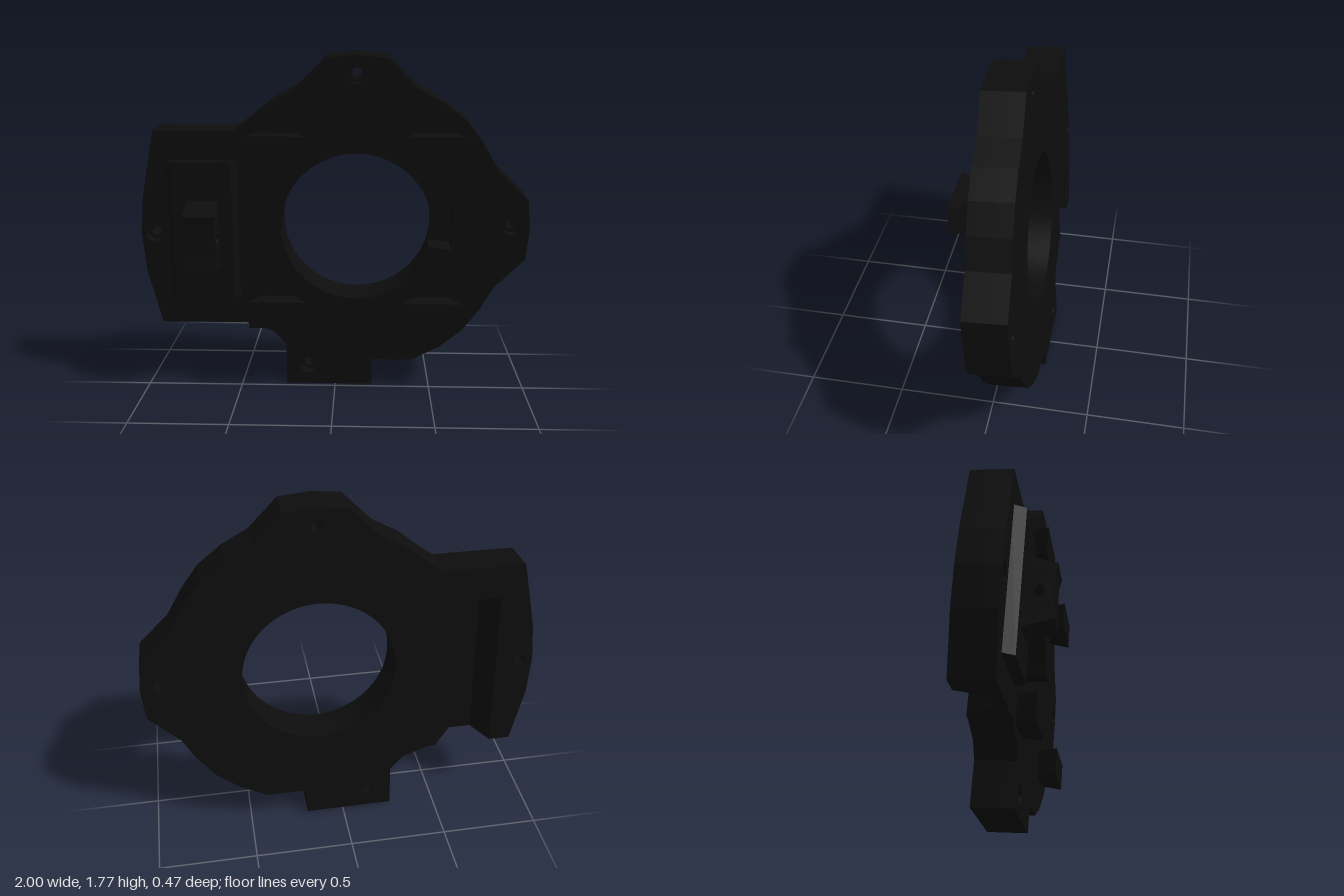
import * as THREE from 'three';

// Plate outline, in two runs so that the rear channel can be cut into its lower edge
const OUTLINE_A = [
  [-0.47, 0.35], [-0.325, 0.3], [-0.26, 0.225], [-0.26, 0], [0.195, 0], [0.195, 0.145],
  [0.405, 0.145], [0.55, 0.22], [0.67, 0.32], [0.76, 0.44], [0.825, 0.56], [0.98, 0.715],
  [0.995, 0.88], [0.98, 1.03], [0.825, 1.18], [0.75, 1.31], [0.66, 1.43], [0.54, 1.525],
  [0.41, 1.595], [0.265, 1.742], [0.11, 1.757], [-0.04, 1.742], [-0.185, 1.595], [-0.32, 1.52],
  [-0.43, 1.43], [-0.5, 1.38], [-0.915, 1.38], [-0.985, 1.03], [-1, 0.84], [-0.985, 0.64],
  [-0.915, 0.35],
];
const CHANNEL = [[-0.805, 0.35], [-0.805, 1.21], [-0.505, 1.21], [-0.505, 0.35]];
const SCREWS = [[0.11, 1.66], [0.905, 0.89], [-0.935, 0.84], [-0.14, 0.105]];
const BORE = { x: 0.11, y: 0.88, r: 0.3875 };

const toShape = (pts) => new THREE.Shape(pts.map(([x, y]) => new THREE.Vector2(x, y)));
const extrude = (shape, depth) =>
  new THREE.ExtrudeGeometry(shape, { depth, bevelEnabled: false, curveSegments: 40 });

// One slice of the plate between two depths
function plateLayer(zBack, zFront, { channel, notch, screwRadius }) {
  const shape = toShape(channel ? [...OUTLINE_A, ...CHANNEL] : OUTLINE_A);
  const bore = new THREE.Path();
  if (notch) {
    bore.absarc(BORE.x, BORE.y, BORE.r, 0.26, Math.PI * 2 - 0.26, false);
    bore.lineTo(0.6, 0.765);
    bore.lineTo(0.6, 0.985);
    bore.closePath();
  } else {
    bore.absarc(BORE.x, BORE.y, BORE.r, 0, Math.PI * 2, false);
  }
  shape.holes.push(bore);
  for (const [x, y] of SCREWS) {
    shape.holes.push(new THREE.Path().absarc(x, y, screwRadius, 0, Math.PI * 2, false));
  }
  return extrude(shape, zFront - zBack).translate(0, 0, zBack);
}

// Upright bar with an (x, z) cross-section
function bar(section, y0, y1) {
  const geo = extrude(toShape(section.map(([x, z]) => [x, -z])), y1 - y0);
  return geo.rotateX(-Math.PI / 2).translate(0, y0, 0);
}

export function createModel() {
  const black = new THREE.MeshStandardMaterial({ color: 0x0d0d0d });
  black.name = 'black plastic';

  const model = new THREE.Group();
  model.name = 'mountingPlate';
  const tilted = new THREE.Group();
  tilted.name = 'tiltedAssembly';
  tilted.rotation.x = 0.0655;
  tilted.position.z = -0.03;
  model.add(tilted);

  const add = (name, geo) => {
    const mesh = new THREE.Mesh(geo, black);
    mesh.name = name;
    tilted.add(mesh);
  };

  // Plate: countersunk front, notched middle, channelled back
  add('plateFront', plateLayer(-0.06, 0, { notch: true, screwRadius: 0.045 }));
  add('plateMiddle', plateLayer(-0.13, -0.06, { notch: true, channel: true, screwRadius: 0.027 }));
  add('plateBack', plateLayer(-0.205, -0.13, { channel: true, screwRadius: 0.027 }));

  // Sloping walls of the rear channel
  add('channelOuterWall', bar([[-0.805, -0.205], [-0.805, -0.06], [-0.74, -0.06]], 0.35, 1.21));
  add('channelInnerWall', bar([[-0.505, -0.205], [-0.505, -0.06], [-0.62, -0.06]], 0.35, 1.21));

  // Raised panel with bevelled sides
  add('raisedPanel', bar([[-0.86, -0.01], [-0.825, 0.055], [-0.52, 0.055], [-0.49, -0.01]], 0.5, 1.23));

  // Four dovetail blocks
  for (const x of [-0.297, 0.505]) {
    for (const y of [0.36, 1.23]) {
      const section = [[-0.09, -0.01], [-0.147, 0.1], [0.147, 0.1], [0.09, -0.01]];
      add('dovetailBlock', bar(section.map(([dx, z]) => [x + dx, z]), y, y + 0.142));
    }
  }

  // Lug with a cross hole, profile in (z, y)
  const lug = toShape([
    [0.04, 1.035], [0.201, 0.988], [0.189, 0.943], [0.19, 0.772], [0.199, 0.713], [0.04, 0.671],
  ]);
  lug.holes.push(new THREE.Path().absarc(0.12, 0.853, 0.028, 0, Math.PI * 2, false));
  add('lug', extrude(lug, 0.16).rotateY(-Math.PI / 2).translate(-0.588, 0, 0));

  return model;
}
